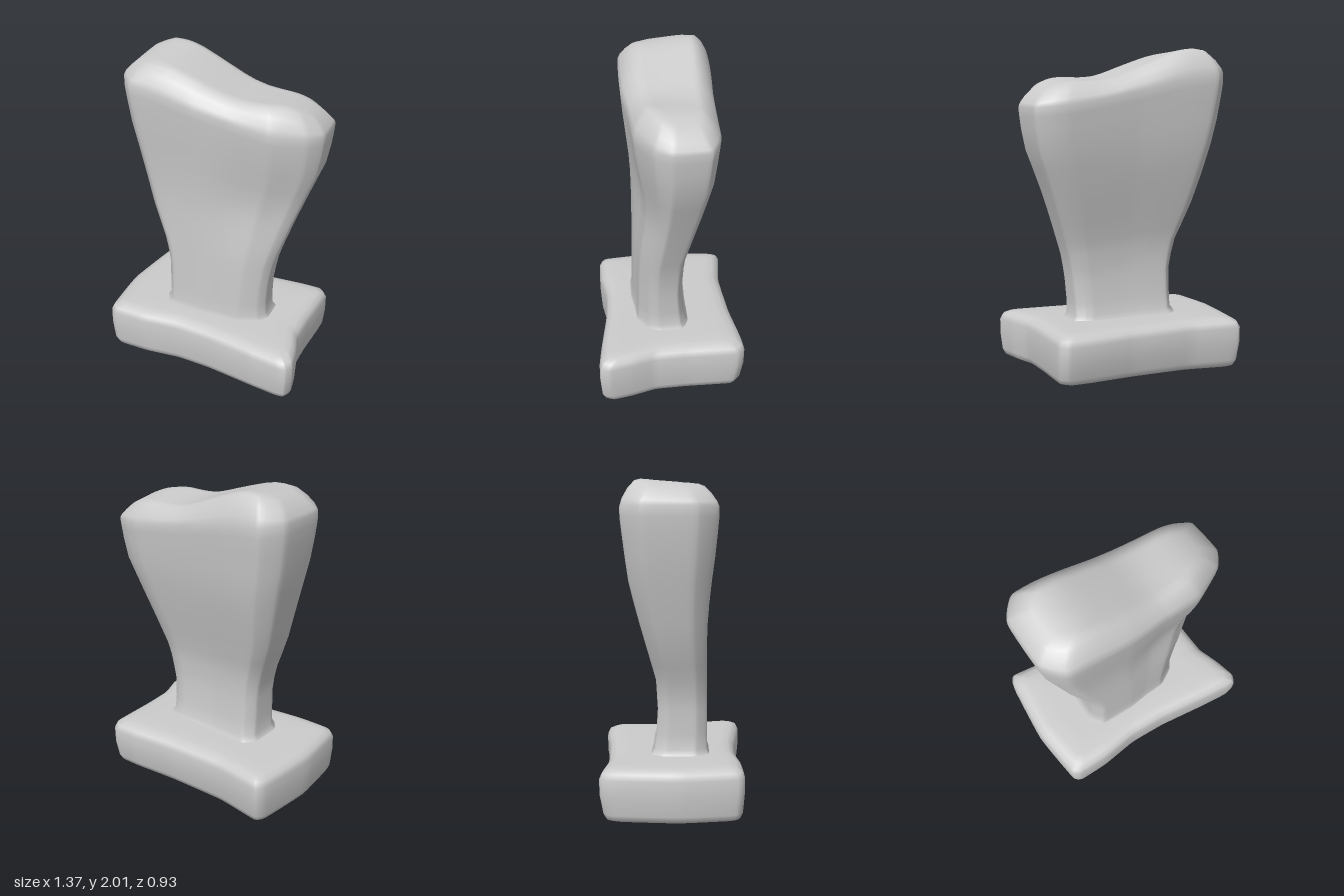
import * as THREE from 'three';

const material = new THREE.MeshStandardMaterial({ color: 0xcccccc });

// Linear lookup in a list of [position, value] pairs
function lookup(table, t) {
  if (t <= table[0][0]) return table[0][1];
  for (let i = 1; i < table.length; i++) {
    const [a, va] = table[i - 1], [b, vb] = table[i];
    if (t <= b) return va + (vb - va) * (t - a) / (b - a);
  }
  return table[table.length - 1][1];
}

// The same, with the kinks averaged out
function softLookup(table, t, width) {
  return [-1, -0.5, 0, 0.5, 1].reduce((sum, k) => sum + lookup(table, t + k * width), 0) / 5;
}

// Closed outline in (x, z), softened through its control points
function outline(points, count) {
  const curve = new THREE.CatmullRomCurve3(
    points.map(([x, z]) => new THREE.Vector3(x, 0, z)), true, 'catmullrom', 0.18);
  return curve.getPoints(count).slice(0, count);
}

// Skin over rings of equal length, ordered from bottom to top
function loft(name, rings) {
  const n = rings[0].length, index = [];
  for (let r = 0; r < rings.length - 1; r++) {
    for (let i = 0; i < n; i++) {
      const a = r * n + i, b = r * n + (i + 1) % n;
      index.push(a, a + n, b, b, a + n, b + n);
    }
  }
  const geometry = new THREE.BufferGeometry();
  geometry.setAttribute('position', new THREE.Float32BufferAttribute(rings.flat(2), 3));
  geometry.setIndex(index);
  geometry.computeVertexNormals();
  const mesh = new THREE.Mesh(geometry, material);
  mesh.name = name;
  return mesh;
}

// Uneven slab with worn edges
function createBase() {
  const edge = outline([
    [-0.6, -0.465], [-0.3, -0.42], [0.1, -0.425], [0.4, -0.45], [0.54, -0.45], [0.59, -0.395],
    [0.59, -0.1], [0.6, 0.12], [0.65, 0.27], [0.68, 0.4], [0.655, 0.455], [0.6, 0.46],
    [0.4, 0.435], [0.1, 0.39], [-0.15, 0.375], [-0.4, 0.4], [-0.6, 0.395], [-0.65, 0.35],
    [-0.685, 0], [-0.645, -0.4]], 100);
  // [height, inset from the outline]
  const levels = [[0.013, 9], [0.013, 0.3], [0.013, 0.1], [0.013, 0.05], [0.025, 0.025],
    [0.06, 0.01], [0.17, 0], [0.265, 0], [0.3, 0.015], [0.32, 0.05], [0.328, 0.1], [0.33, 0.2], [0.33, 9]];
  return loft('base', levels.map(([y, inset]) => edge.map((p) => {
    const sx = Math.max(0, 1 - inset / 0.65), sz = Math.max(0, 1 - inset / 0.43);
    const x = p.x * sx;
    // Underside dips to one side, and the back face leans in towards it
    const low = THREE.MathUtils.clamp(1 - y / 0.2, 0, 1);
    const z = p.z * sz * (p.z < 0 ? 1 - 0.04 * low : 1);
    return [x, y + 0.013 * low * x / 0.68, z];
  })));
}

// Flaring upright with a slanted, rounded head
function createStem() {
  const section = outline([
    [-1, -0.59], [-0.84, -1], [-0.45, -0.97], [-0.05, -0.91], [0.66, -0.86], [0.82, -0.78],
    [0.97, -0.59], [1, 0.2], [0.89, 0.56], [0.58, 0.9], [0.2, 0.93], [-0.2, 1],
    [-0.82, 0.94], [-1, 0.49]], 84);
  const left = [[0.3, -0.365], [0.33, -0.345], [0.36, -0.322], [0.6, -0.32], [0.68, -0.33],
    [0.8, -0.36], [1, -0.44], [1.2, -0.495], [1.4, -0.545], [1.6, -0.59], [1.8, -0.615]];
  const right = [[0.3, 0.38], [0.33, 0.365], [0.36, 0.343], [0.5, 0.35], [0.6, 0.36], [0.75, 0.39],
    [1, 0.475], [1.2, 0.55], [1.4, 0.63], [1.55, 0.66], [1.66, 0.67]];
  const front = [[0.3, 0.22], [0.33, 0.21], [0.36, 0.2], [0.7, 0.195], [1, 0.19],
    [1.2, 0.195], [1.4, 0.215], [1.6, 0.24], [1.8, 0.258]];
  const back = [[0.3, -0.17], [0.33, -0.155], [0.36, -0.135], [0.55, -0.11], [0.8, -0.125],
    [1, -0.18], [1.2, -0.235], [1.4, -0.285], [1.6, -0.312], [1.8, -0.335]];
  const shoulder = [[-0.61, 1.86], [-0.35, 1.84], [0, 1.76], [0.2, 1.72], [0.45, 1.68], [0.67, 1.66]];
  const crown = [[-0.64, 1.93], [-0.5, 1.985], [-0.42, 1.997], [-0.31, 1.997], [-0.2, 1.96],
    [0, 1.885], [0.1, 1.845], [0.2, 1.825], [0.44, 1.825], [0.54, 1.795], [0.67, 1.73]];

  const rings = [];
  // Walls up to the shoulder
  for (const s of [0, 0.02, 0.04, 0.1, 0.2, 0.26, 0.32, 0.38, 0.47, 0.55, 0.63, 0.72, 0.81, 0.9, 0.96, 1]) {
    rings.push(section.map((p) => {
      const y = THREE.MathUtils.lerp(0.3, lookup(shoulder, 0.03 + 0.64 * p.x), s);
      const x = THREE.MathUtils.lerp(lookup(left, y), lookup(right, y), (p.x + 1) / 2);
      const z = THREE.MathUtils.lerp(lookup(back, y), lookup(front, y), (p.z + 1) / 2);
      // Shallow hollow in the front under the low end of the head
      const hollow = 0.03 * Math.exp(-(((y - 1.17) / 0.25) ** 2))
        * THREE.MathUtils.smoothstep(p.x, -0.3, 0.5) * THREE.MathUtils.smoothstep(p.z, 0, 0.8);
      return [x, y, z - hollow];
    }));
  }
  // Head: rounded rim, then a surface that follows the crown line
  const rim = rings[rings.length - 1];
  const cx = 0.03, cz = -0.045;
  const caps = [[0.985, 0.95, 0.3], [0.945, 0.84, 0.65], [0.88, 0.7, 0.93], [0.8, 0.58, 1],
    [0.7, 0.5, 1], [0.6, 0.42, 1], [0.5, 0.34, 1], [0.4, 0.27, 1], [0.3, 0.2, 1],
    [0.2, 0.13, 1], [0.1, 0.07, 1], [0, 0, 1]];
  for (const [sx, sz, rise] of caps) {
    rings.push(rim.map(([rx, ry, rz]) => {
      const x = cx + (rx - cx) * sx, z = cz + (rz - cz) * sz;
      const tilt = 0.1 * (z - cz) * THREE.MathUtils.clamp(x / 0.45, -1, 1);
      return [x, THREE.MathUtils.lerp(ry, softLookup(crown, x, 0.06) + tilt, rise), z];
    }));
  }
  return loft('stem', rings);
}

export function createModel() {
  const group = new THREE.Group();
  group.name = 'stampBlock';
  group.add(createBase(), createStem());
  return group;
}
